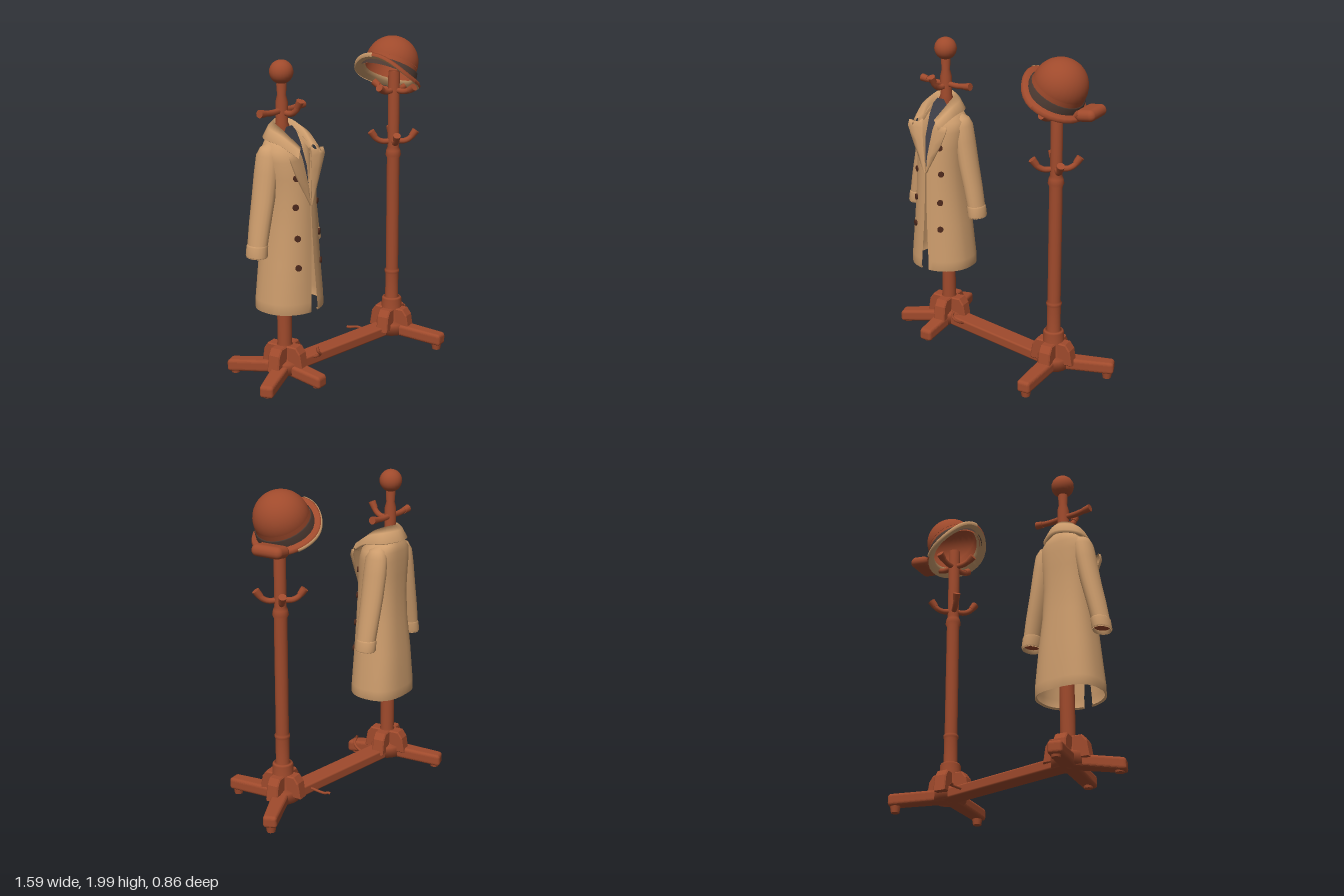
import * as THREE from 'three';
import { RoundedBoxGeometry } from 'three/addons/geometries/RoundedBoxGeometry.js';

const V = (x, y, z) => new THREE.Vector3(x, y, z);
const paint = (name, color, side = THREE.FrontSide) => {
  const m = new THREE.MeshStandardMaterial({ color, side });
  m.name = name;
  return m;
};

export function createModel() {
  const wood = paint('reddish wood', 0x9f4a2c);
  const cloth = paint('tan cloth', 0xcc9c6c, THREE.DoubleSide);
  const lining = paint('dark lining', 0x3f3f48, THREE.DoubleSide);
  const band = paint('hat band', 0x4c3a32, THREE.DoubleSide);
  const felt = paint('hat felt', 0x9f4a2c, THREE.DoubleSide);
  const button = paint('button brown', 0x4e2a1d);
  const model = new THREE.Group();

  const add = (parent, name, geo, mat, x = 0, y = 0, z = 0) => {
    const m = new THREE.Mesh(geo, mat);
    m.name = name;
    m.position.set(x, y, z);
    parent.add(m);
    return m;
  };
  const group = (name, x, y, z, parent = model) => {
    const g = new THREE.Group();
    g.name = name;
    g.position.set(x, y, z);
    parent.add(g);
    return g;
  };
  // Skin over rows of points
  const skin = (rows, closed = false) => {
    const n = rows[0].length, idx = [];
    for (let i = 0; i < rows.length - 1; i++)
      for (let j = 0; j < (closed ? n : n - 1); j++) {
        const k = (j + 1) % n, a = i * n + j, b = i * n + k, c = a + n, d = b + n;
        idx.push(a, b, d, a, d, c);
      }
    const g = new THREE.BufferGeometry().setFromPoints(rows.flat());
    g.setIndex(idx);
    g.computeVertexNormals();
    return g;
  };
  const lathe = (pts, seg = 20, start = 0, sweep = Math.PI * 2) =>
    new THREE.LatheGeometry(pts.map(p => new THREE.Vector2(...p)), seg, start, sweep);

  // Leg: a beam running outward, sloping down and narrowing, on a small foot
  const leg = (stand, dx, dz, drop) => {
    const len = Math.hypot(dx, dz), g = group('leg', 0, 0, 0, stand);
    const geo = new RoundedBoxGeometry(len, 0.075, 0.105, 3, 0.02).translate(len / 2, 0.095, 0);
    const p = geo.attributes.position;
    for (let i = 0; i < p.count; i++) {
      const t = p.getX(i) / len;
      p.setY(i, p.getY(i) - drop * t);
      p.setZ(i, p.getZ(i) * (1 - 0.2 * t));
    }
    geo.computeVertexNormals();
    add(g, 'legBeam', geo, wood);
    add(g, 'foot', new THREE.CylinderGeometry(0.036, 0.026, 0.06, 12), wood, len - 0.042, 0.035, 0);
    g.rotation.y = Math.atan2(-dz, dx);
  };
  // Wedge-shaped brace beside the post
  const brace = (stand, angle) => {
    const s = new THREE.Shape([[0, 0.1], [0.135, 0.1], [0.12, 0.19], [0.095, 0.225], [0, 0.225]].map(p => new THREE.Vector2(...p)));
    const geo = new THREE.ExtrudeGeometry(s, { depth: 0.065, bevelSize: 0.007, bevelThickness: 0.007, bevelSegments: 1 });
    add(stand, 'brace', geo.translate(0, 0, -0.0325), wood).rotation.y = angle;
  };
  // Hook: an arm leaving the post, ending in a thicker tip
  const hook = (stand, y, angle, len, rise, r = 0.018) => {
    const g = group('hook', 0, y, 0, stand);
    const path = new THREE.CatmullRomCurve3([V(0, 0, 0), V(len * 0.5, -0.003, 0), V(len * 0.75, rise * 0.25, 0), V(len, rise, 0)]);
    add(g, 'hookArm', new THREE.TubeGeometry(path, 10, r, 8), wood);
    const tip = add(g, 'hookTip', new THREE.CylinderGeometry(r * 1.35, r * 1.15, 0.045, 10), wood, len - 0.01, rise * 0.85, 0);
    tip.rotation.z = Math.atan2(rise, len * 0.27) - Math.PI / 2;
    g.rotation.y = angle;
  };

  // Coat stand
  const coatStand = group('coatStand', -0.47, 0, -0.075);
  add(coatStand, 'post', lathe([[0, 0.06], [0.1, 0.06], [0.1, 0.13], [0.06, 0.14], [0.055, 0.22], [0.044, 0.24], [0.044, 1.58],
    [0.036, 1.6], [0.036, 1.72], [0.026, 1.76], [0.03, 1.82], [0.022, 1.85]]), wood);
  add(coatStand, 'ball', new THREE.SphereGeometry(0.07, 20, 14), wood, 0, 1.893, 0);
  [[-0.125, -0.345, 0.04], [-0.31, 0.115, 0.05], [0.02, 0.28, 0.05]].forEach(a => leg(coatStand, ...a));
  hook(coatStand, 1.67, 0, 0.18, 0.006);
  hook(coatStand, 1.67, Math.PI, 0.18, 0.006);
  hook(coatStand, 1.66, -Math.PI / 2, 0.14, 0.07);

  // Hat stand
  const hatStand = group('hatStand', 0.455, 0, 0.05);
  add(hatStand, 'post', lathe([[0, 0.06], [0.1, 0.06], [0.1, 0.13], [0.064, 0.14], [0.064, 0.29], [0.058, 0.3], [0.042, 0.3], [0.042, 0.46],
    [0.047, 0.47], [0.047, 0.485], [0.04, 0.495], [0.04, 1.23], [0.049, 1.25], [0.044, 1.28], [0.036, 1.3], [0.036, 1.78], [0, 1.78]]), wood);
  [[0.335, -0.17, 0.015], [0.04, 0.375, 0.02]].forEach(a => leg(hatStand, ...a));
  for (let i = 0; i < 4; i++) {
    brace(coatStand, i * Math.PI / 2 + 0.15);
    brace(hatStand, i * Math.PI / 2 + 0.15);
    hook(hatStand, 1.34, Math.PI / 4 + i * Math.PI / 2, 0.14, 0.052);
    hook(hatStand, 1.665, i * Math.PI / 2, 0.145, 0.025);
  }

  // Crossbar with a small curled peg near each end, one upright and one lying flat
  const bar = add(model, 'crossbar', new RoundedBoxGeometry(0.93, 0.065, 0.12, 2, 0.012), wood, -0.008, 0.088, -0.022);
  bar.rotation.y = -0.11;
  const peg = points => add(model, 'peg', new THREE.TubeGeometry(new THREE.CatmullRomCurve3(points), 12, 0.009, 6), wood);
  peg([V(-0.29, 0.1, -0.01), V(-0.295, 0.13, 0.05), V(-0.31, 0.15, 0.07), V(-0.328, 0.17, 0.07), V(-0.325, 0.195, 0.06)]);
  peg([V(0.3, 0.09, -0.05), V(0.305, 0.09, -0.12), V(0.295, 0.085, -0.15), V(0.28, 0.085, -0.16), V(0.278, 0.085, -0.18)]);

  // Hat, tilted to one side
  const hat = group('hat', 0.46, 1.835, 0.03);
  hat.rotation.z = -0.52;
  const dome = add(hat, 'crown', new THREE.SphereGeometry(0.163, 28, 14, 0, Math.PI * 2, 0, Math.PI / 2), felt);
  dome.scale.set(1, 1.01, 1.01);
  add(hat, 'crownSide', lathe([[0.168, -0.075], [0.163, 0]], 28), felt);
  add(hat, 'hatBand', lathe([[0.18, -0.08], [0.174, -0.03], [0.166, -0.028]], 28), band);
  // The brim rises on the side away from the roll, hiding the band there
  const brimRule = geo => {
    const p = geo.attributes.position;
    for (let i = 0; i < p.count; i++) {
      const x = p.getX(i);
      p.setY(i, p.getY(i) + (x < 0 ? 1.5 : 0.3) * x * x - 0.008);
    }
    geo.computeVertexNormals();
    return geo;
  };
  add(hat, 'brim', brimRule(lathe([[0.211, -0.105], [0.215, -0.092], [0.206, -0.078], [0.165, -0.065]], 32)), felt);
  add(hat, 'brimUnderside', brimRule(lathe([[0.211, -0.105], [0.165, -0.085], [0.155, -0.06]], 32)), cloth);
  // Tan edge showing along the back of the brim
  add(hat, 'brimEdge', brimRule(lathe([[0.209, -0.109], [0.217, -0.104], [0.219, -0.092], [0.213, -0.086]], 18, 2.5, 2.2)), cloth);
  const roll = add(model, 'brimRoll', new RoundedBoxGeometry(0.125, 0.07, 0.2, 4, 0.034), felt, 0.632, 1.69, -0.03);
  roll.rotation.set(0, 0.12, 0.12);

  // Coat body rows: height, half width, front z, back z, half opening
  const coat = group('coat', -0.47, 0, 0);
  const body = [[0.505, 0.195, 0.151, -0.192, 0.028], [0.497, 0.207, 0.162, -0.203, 0.028], [0.56, 0.206, 0.16, -0.202, 0.026],
    [0.8, 0.18, 0.149, -0.188, 0.012], [1.0, 0.157, 0.142, -0.168, 0.005], [1.18, 0.148, 0.135, -0.16, 0.004], [1.3, 0.155, 0.128, -0.162, 0.024],
    [1.4, 0.165, 0.115, -0.163, 0.042], [1.46, 0.16, 0.095, -0.16, 0.052], [1.5, 0.12, 0.07, -0.155, 0.058], [1.54, 0.075, 0.03, -0.13, 0.055]];
  const bodyRow = ([y, rx, f, b, gap]) => {
    const rz = (f - b) / 2, start = Math.asin(gap / rx);
    return Array.from({ length: 41 }, (_, i) => {
      const t = start + (Math.PI - start) * 2 * i / 40;
      // Round in front, squarer behind
      const curve = v => Math.sign(v) * Math.abs(v) ** (Math.cos(t) > 0 ? 1 : 0.74);
      return V(rx * curve(Math.sin(t)), y, (f + b) / 2 + rz * curve(Math.cos(t)));
    });
  };
  add(coat, 'coatBody', skin(body.map(bodyRow)), cloth);
  // Dark inner panel seen through the neck and front opening
  const panel = [[0.65, 0.014, 0.1], [0.9, 0.02, 0.1], [1.2, 0.03, 0.1], [1.35, 0.06, 0.06], [1.48, 0.066, 0.01], [1.55, 0.055, -0.015], [1.585, 0.025, -0.02]];
  add(coat, 'innerPanel', skin(panel.map(([y, w, z]) => [V(-w, y, z), V(0, y, z + 0.004), V(w, y, z)])), lining);

  const ellipse = ([x, y, rx, rz], s) => Array.from({ length: 18 }, (_, i) => {
    const a = i / 18 * Math.PI * 2;
    return V(s * (x + rx * Math.cos(a)), y, -0.07 + rz * Math.sin(a));
  });
  for (const s of [-1, 1]) {
    // Sleeve with cuff
    const sleeve = [[0.11, 1.495, 0.012, 0.02], [0.125, 1.475, 0.045, 0.05], [0.135, 1.43, 0.057, 0.072], [0.15, 1.33, 0.06, 0.077],
      [0.178, 1.18, 0.058, 0.075], [0.21, 1.04, 0.055, 0.07], [0.234, 0.92, 0.052, 0.064]];
    const cuff = [[0.234, 0.92, 0.051, 0.063], [0.236, 0.912, 0.056, 0.068], [0.243, 0.855, 0.057, 0.069], [0.243, 0.845, 0.052, 0.064], [0.24, 0.875, 0.046, 0.058]];
    add(coat, 'sleeve', skin(sleeve.map(r => ellipse(r, s)), true), cloth);
    add(coat, 'cuff', skin(cuff.map(r => ellipse(r, s)), true), cloth);
    add(coat, 'sleeveOpening', skin([[0.24, 0.87, 0.047, 0.059], [0.24, 0.875, 0.001, 0.001]].map(r => ellipse(r, s)), true), felt);
    // Lapel
    const lapel = [[0.003, 1.14, 0.14, 0.009, 1.14, 0.142], [0.013, 1.25, 0.136, 0.066, 1.25, 0.134], [0.028, 1.34, 0.125, 0.114, 1.34, 0.126],
      [0.04, 1.42, 0.112, 0.15, 1.42, 0.122], [0.047, 1.45, 0.104, 0.148, 1.455, 0.112], [0.052, 1.475, 0.09, 0.092, 1.435, 0.112]];
    add(coat, 'lapel', skin(lapel.map(([a, b, c, d, e, f]) =>
      [V(s * a, b, c), V(s * (a + d) / 2, (b + e) / 2, (c + f) / 2 + 0.008), V(s * d, e, f), V(s * d * 0.96, e, f - 0.016)])), cloth);
    // Buttons
    [[1.31, 0.088, 0.103], [1.14, 0.095, 0.102], [0.955, 0.096, 0.116], [0.78, 0.1, 0.124]].forEach(([y, x, z]) => {
      const b = add(coat, 'button', new THREE.CylinderGeometry(0.019, 0.019, 0.016, 10), button, s * x, y, z);
      b.rotation.x = Math.PI / 2;
      b.rotation.z = -s * 0.55;
    });
  }
  // Folded collar between inner, fold and outer edges
  const edge = half => new THREE.CatmullRomCurve3([...half.map(p => V(...p)), ...half.slice(0, -1).reverse().map(([x, y, z]) => V(-x, y, z))]).getPoints(30);
  const collar = [
    [[0.05, 1.46, 0.085], [0.066, 1.5, 0], [0.058, 1.52, -0.08], [0, 1.53, -0.11]],
    [[0.05, 1.485, 0.108], [0.078, 1.575, 0], [0.066, 1.612, -0.08], [0, 1.62, -0.12]],
    [[0.083, 1.475, 0.13], [0.113, 1.55, 0.015], [0.1, 1.58, -0.09], [0, 1.59, -0.15]],
    [[0.105, 1.435, 0.138], [0.138, 1.5, 0.025], [0.125, 1.52, -0.11], [0, 1.53, -0.18]],
    [[0.1, 1.435, 0.122], [0.125, 1.495, 0.015], [0.11, 1.51, -0.1], [0, 1.52, -0.16]]];
  add(coat, 'collar', skin(collar.map(edge)), cloth);
  return model;
}
